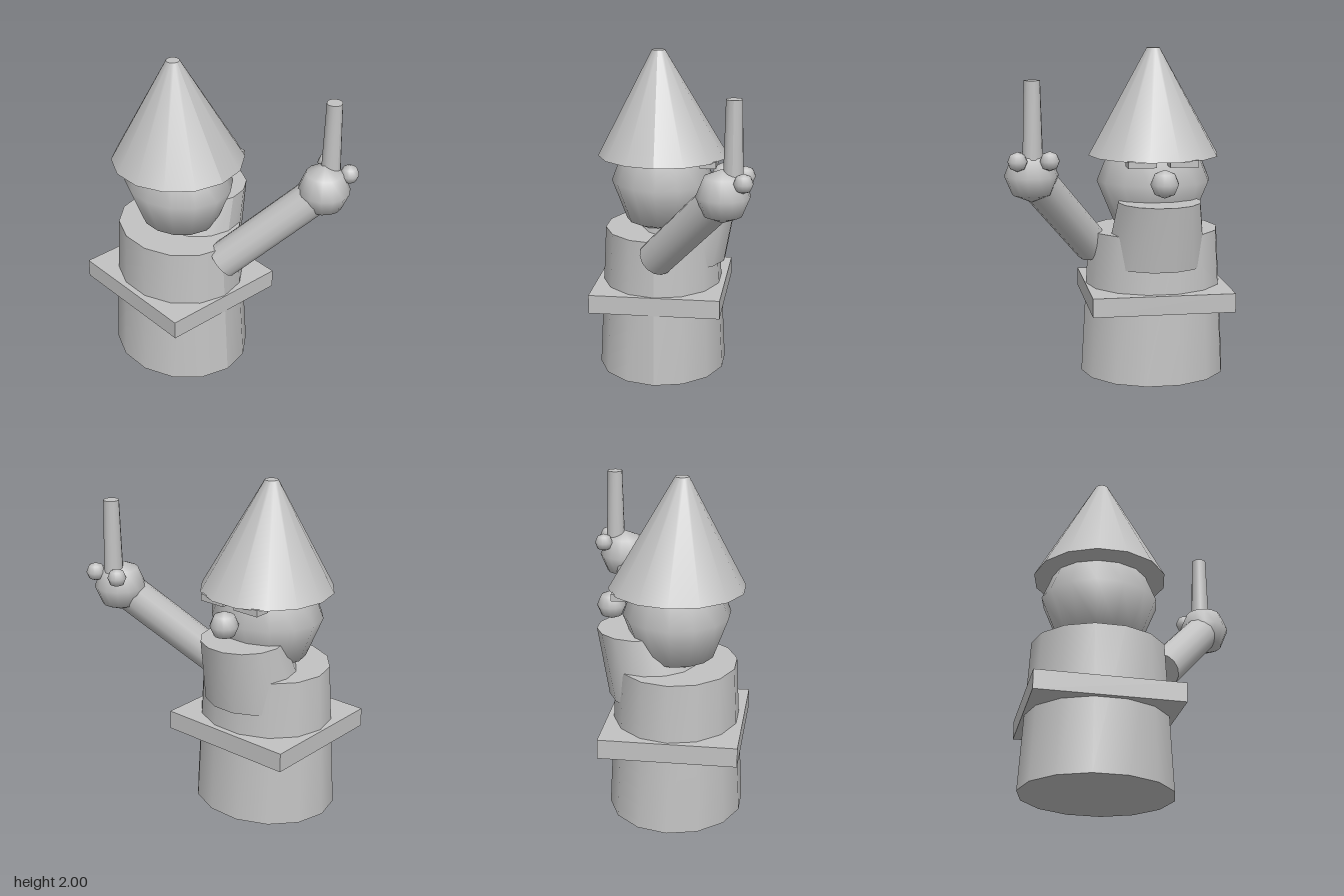
import * as THREE from 'three';

const SIDES = 14;
const AXIS_X = -0.245; // shared axis of the figure
const AXIS_Z = 0.11;

export function createModel() {
  const group = new THREE.Group();
  const stone = new THREE.MeshStandardMaterial({ color: 0xc2c2c2 });
  stone.name = 'plain grey';

  function add(name, geometry, x, y, z) {
    const mesh = new THREE.Mesh(geometry, stone);
    mesh.name = name;
    mesh.position.set(x, y, z);
    group.add(mesh);
    return mesh;
  }

  // Upright tapered column; lean shifts the top in z relative to the bottom
  function column(rTop, rBottom, height, depth = 1, lean = 0) {
    const g = new THREE.CylinderGeometry(rTop, rBottom, height, SIDES);
    g.rotateY(Math.PI / 2);
    g.scale(1, 1, depth);
    g.applyMatrix4(new THREE.Matrix4().set(
      1, 0, 0, 0,
      0, 1, 0, 0,
      0, lean / height, 1, 0,
      0, 0, 0, 1));
    g.computeVertexNormals();
    return g;
  }

  const ball = (r) => new THREE.SphereGeometry(r, SIDES, 4);

  // Body and belt
  add('body', column(0.4, 0.45, 0.9, 0.89), AXIS_X, 0.45, AXIS_Z);
  add('belt', new THREE.BoxGeometry(0.86, 0.115, 0.8), -0.25, 0.5025, AXIS_Z);

  // Head and hat, whose tip leans slightly away from the face
  add('head', ball(0.35), AXIS_X, 1.2, AXIS_Z).scale.z = 0.9;
  add('hat', column(0.04, 0.4, 0.645, 1, 0.025), AXIS_X, 1.6775, AXIS_Z + 0.0125);

  // Face, which looks towards -z
  add('beard', column(0.25, 0.31, 0.4, 1, -0.13), AXIS_X, 0.9, -0.045);
  add('nose', ball(0.085), AXIS_X, 1.23, -0.275);
  for (const side of [-1, 1]) {
    add('eyebrow', new THREE.BoxGeometry(0.17, 0.04, 0.1), AXIS_X + side * 0.125, 1.34, -0.19);
  }

  // Raised arm from shoulder to hand
  const shoulder = new THREE.Vector3(0.137, 0.8, 0.1);
  const hand = new THREE.Vector3(0.535, 1.31, -0.335);
  const reach = hand.clone().sub(shoulder);
  const middle = shoulder.clone().add(hand).multiplyScalar(0.5);
  const arm = add('arm', new THREE.CylinderGeometry(0.11, 0.11, reach.length(), SIDES),
    middle.x, middle.y, middle.z);
  arm.quaternion.setFromUnitVectors(new THREE.Vector3(0, 1, 0), reach.normalize());

  // Hand with one long finger and two knuckles
  add('hand', ball(0.155), hand.x, hand.y, hand.z);
  add('finger', column(0.046, 0.058, 0.47), 0.53, 1.615, -0.39);
  for (const side of [-1, 1]) {
    add('knuckle', ball(0.056), 0.53 + side * 0.09, 1.405, -0.452);
  }

  return group;
}
